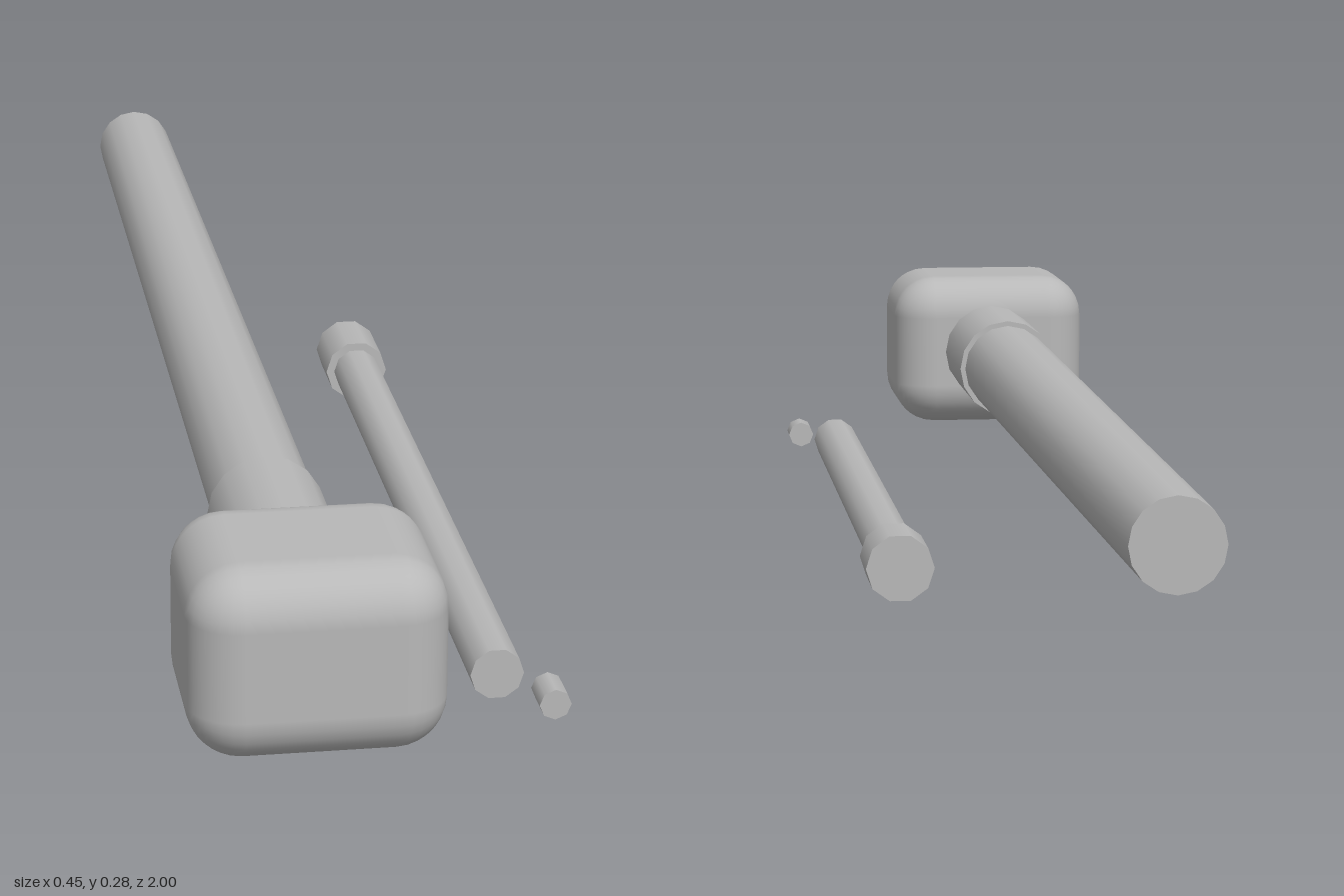
import * as THREE from 'three';
import { RoundedBoxGeometry } from 'three/addons/geometries/RoundedBoxGeometry.js';

export function createModel() {
  const group = new THREE.Group();
  const grey = new THREE.MeshStandardMaterial({ color: 0xb8b8b8 });
  grey.name = 'plain grey';

  function add(name, geometry, x, y, z) {
    const mesh = new THREE.Mesh(geometry, grey);
    mesh.name = name;
    mesh.position.set(x, y, z);
    group.add(mesh);
  }

  // Cylinder lying along z, with a corner pointing to +x
  function rod(name, x, y, zFront, zBack, rFront, rBack, sides) {
    const g = new THREE.CylinderGeometry(rFront, rBack, zFront - zBack, sides, 1, false, Math.PI / 2);
    g.rotateX(Math.PI / 2);
    add(name, g, x, y, (zFront + zBack) / 2);
  }

  // Rounded head with its collar and long tapered handle
  add('head', new RoundedBoxGeometry(0.288, 0.224, 0.253, 4, 0.06), -0.083, 0.171, 0.8735);
  rod('collar', -0.083, 0.172, 0.765, 0.535, 0.07, 0.07, 16);
  rod('handle', -0.083, 0.172, 0.545, -1, 0.063, 0.054, 16);

  // Separate thin rod with a wider end cap
  rod('thinRod', 0.158, 0.0405, 0.745, -0.3, 0.0315, 0.0315, 10);
  rod('rodCap', 0.158, 0.0405, -0.283, -0.378, 0.0425, 0.0425, 10);

  // Small loose peg
  rod('peg', 0.207, 0.042, 0.838, 0.79, 0.0185, 0.0185, 8);

  return group;
}
